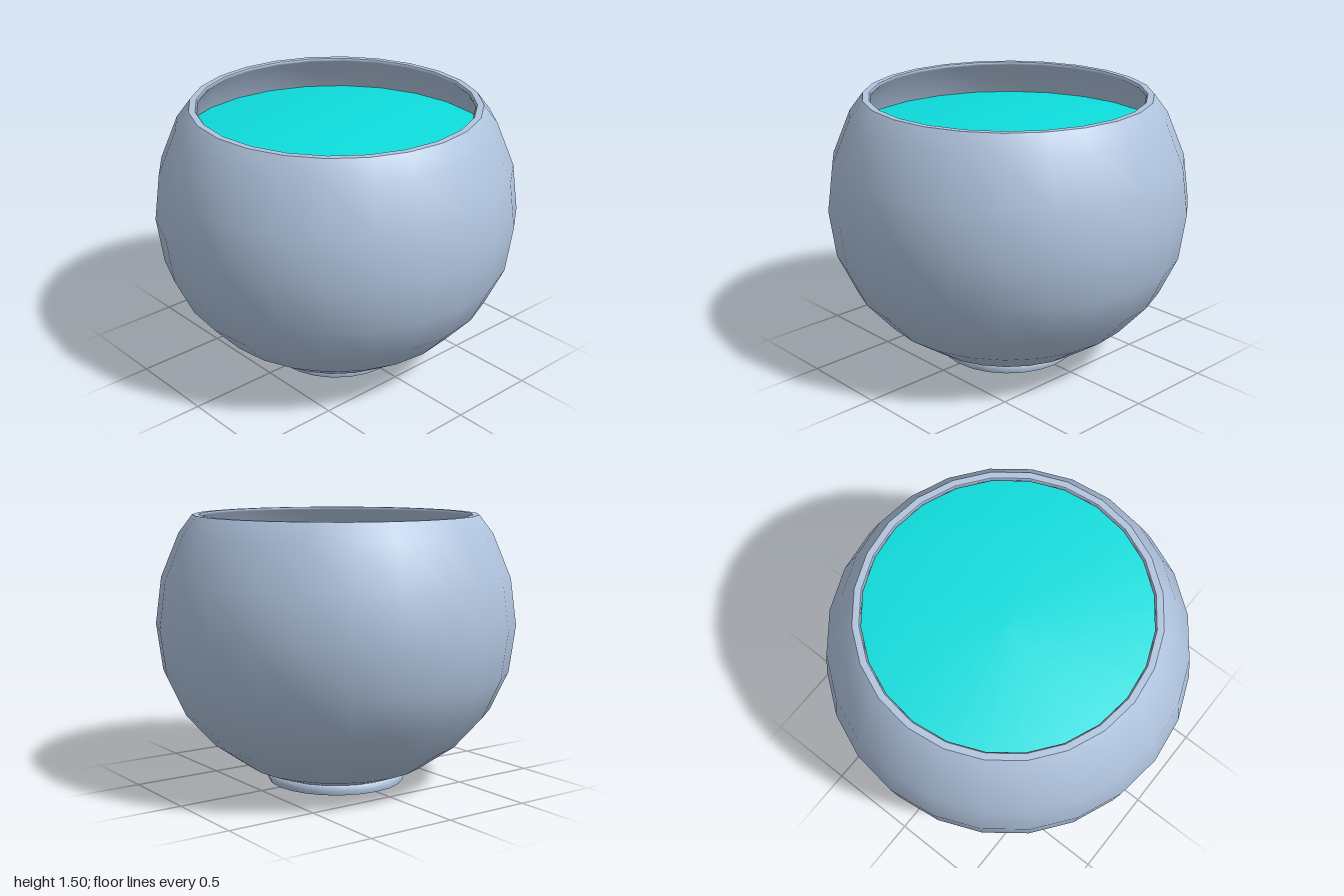
import * as THREE from 'three';

const SEGMENTS = 24;
const CENTRE_Y = 0.9;

// Points on a sphere profile at the given latitudes in degrees
const arc = (radius, latitudes) => latitudes.map((deg) => {
  const a = THREE.MathUtils.degToRad(deg);
  return [radius * Math.cos(a), CENTRE_Y + radius * Math.sin(a)];
});

// Revolved profile; a repeated point makes a sharp edge
const lathe = (points) => new THREE.LatheGeometry(
  points.map(([r, y]) => new THREE.Vector2(r, y)), SEGMENTS);

export function createModel() {
  const glass = new THREE.MeshStandardMaterial({ color: 0xb0c4de });
  glass.name = 'pale blue glass';
  const water = new THREE.MeshStandardMaterial({ color: 0x0edede });
  water.name = 'turquoise water';

  const group = new THREE.Group();
  group.name = 'fishbowl';
  const add = (name, geometry, material) => {
    const mesh = new THREE.Mesh(geometry, material);
    mesh.name = name;
    group.add(mesh);
  };

  // Round wall: up the outside, over the flat rim and down the inside to the floor
  add('bowl', lathe([
    [0.37, 0.05], [0.5, 0.1], [0.707, 0.245], [0.866, 0.425],
    ...arc(1, [-15, 0, 15, 30]),
    [0.79, 1.5], [0.79, 1.5], [0.755, 1.5], [0.755, 1.5], [0.745, 1.485],
    ...arc(0.965, [30, 15, 0, -15]),
    [0.83, 0.445], [0.68, 0.275], [0.48, 0.135], [0.36, 0.09], [0, 0.09],
  ]), glass);

  // Low foot with a slightly bulging edge and a flat underside
  add('foot', lathe([
    [0, 0], [0.383, 0], [0.383, 0], [0.39, 0.025], [0.38, 0.05], [0.36, 0.055],
  ]), glass);

  // Water filling the bowl, its surface meeting the inner wall
  add('water', lathe([
    [0, 0.1], [0.35, 0.1], [0.47, 0.145], [0.67, 0.285], [0.82, 0.455],
    ...arc(0.955, [-15, 0, 15]),
    [0.87, 1.29], [0, 1.29],
  ]), water);
  return group;
}
